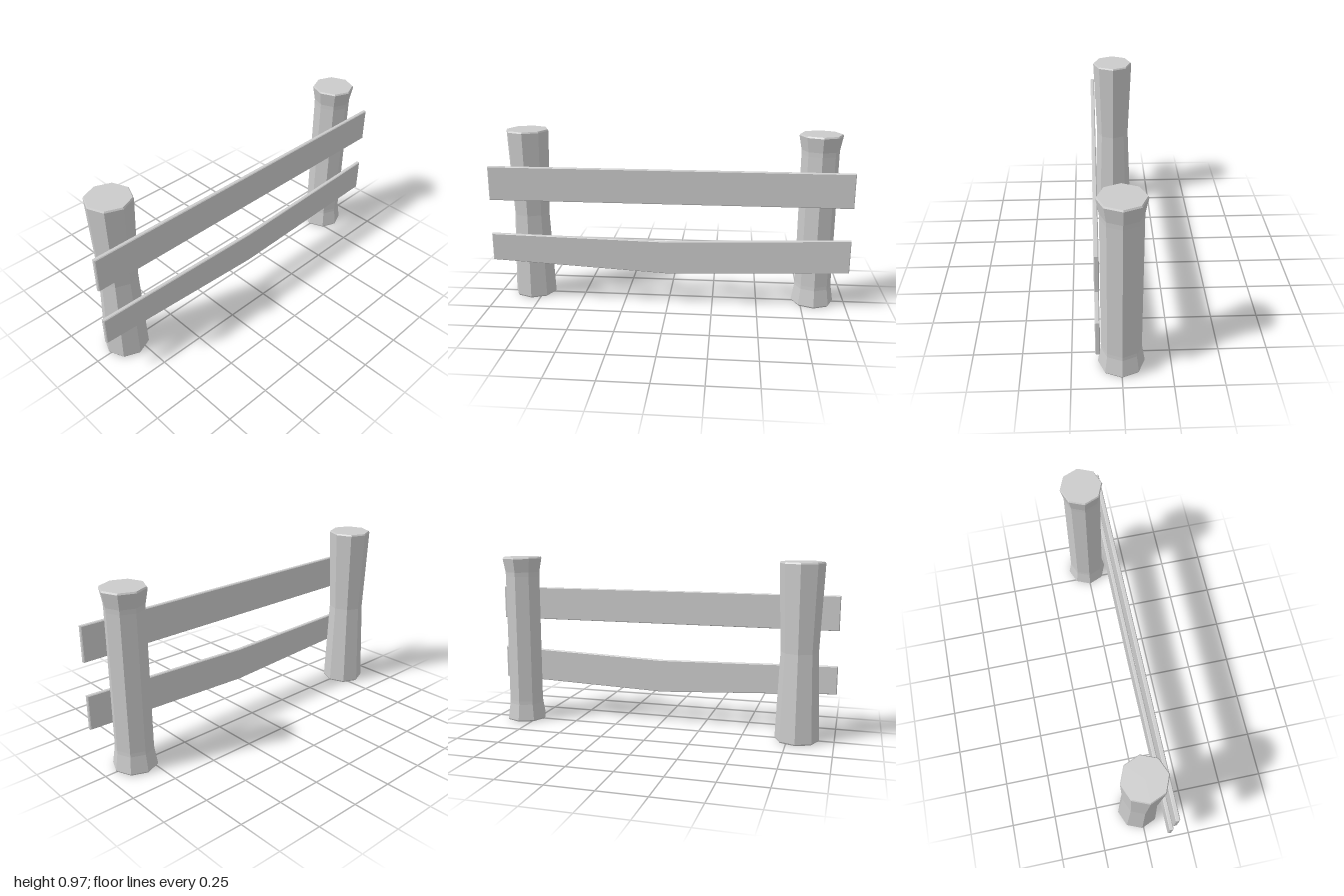
import * as THREE from 'three';

const material = new THREE.MeshStandardMaterial({ color: 0xcccccc, flatShading: true });

// Eight-sided post turned from a [radius, height] profile
function makePost(name, x, z, profile) {
  const points = profile.map(([r, y]) => new THREE.Vector2(r, y));
  const post = new THREE.Mesh(new THREE.LatheGeometry(points, 8), material);
  post.name = name;
  post.position.set(x, 0, z);
  return post;
}

// Thin plank with slightly bevelled edges, cut from an outline in x and y
function makeRail(name, outline) {
  const shape = new THREE.Shape(outline.map(([x, y]) => new THREE.Vector2(x, y)));
  const bevel = 0.004;
  const geometry = new THREE.ExtrudeGeometry(shape, {
    depth: 0.023 - 2 * bevel,
    bevelThickness: bevel,
    bevelSize: bevel,
    bevelOffset: -bevel,
    bevelSegments: 1,
  });
  const rail = new THREE.Mesh(geometry, material);
  rail.name = name;
  rail.position.z = 0.107 + bevel;
  return rail;
}

export function createModel() {
  const fence = new THREE.Group();
  fence.name = 'fence';

  // Post with a gently pinched middle
  fence.add(makePost('rightPost', -0.8, -0.009, [
    [0, 0], [0.115, 0], [0.12, 0.008], [0.101, 0.49],
    [0.12, 0.963], [0.115, 0.971], [0, 0.971],
  ]));

  // Post with a straight shaft and flared ends
  fence.add(makePost('leftPost', 0.82, 0, [
    [0, 0], [0.113, 0], [0.118, 0.008], [0.103, 0.1], [0.102, 0.12],
    [0.102, 0.86], [0.103, 0.885], [0.118, 0.963], [0.113, 0.971], [0, 0.971],
  ]));

  // Straight upper rail and sagging lower rail
  fence.add(makeRail('upperRail', [[-1, 0.592], [1, 0.592], [1, 0.783], [-1, 0.783]]));
  fence.add(makeRail('lowerRail', [
    [-1, 0.24], [0, 0.187], [1, 0.222], [1, 0.411], [0, 0.376], [-1, 0.396],
  ]));

  return fence;
}
